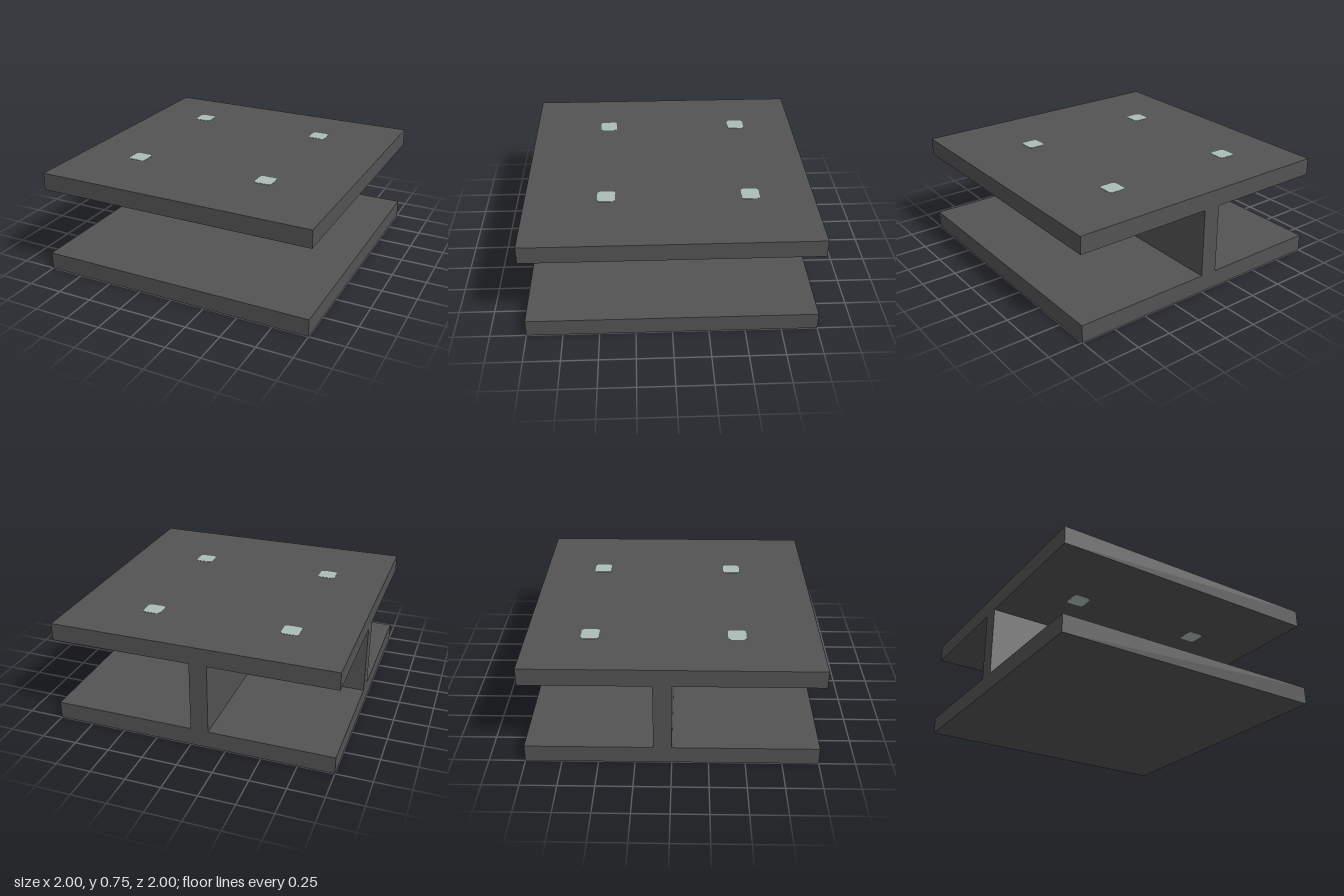
import * as THREE from 'three';

const grey = new THREE.MeshStandardMaterial({ color: 0x535353 });
grey.name = 'dark grey';
const pale = new THREE.MeshStandardMaterial({ color: 0xabbdb6 });
pale.name = 'pale green';

const PLATE = 0.125; // thickness of plates and walls
const TOP = 0.75;

// box placed by its minimum corner
function box(name, [w, h, d], [x, y, z]) {
  const mesh = new THREE.Mesh(new THREE.BoxGeometry(w, h, d), grey);
  mesh.name = name;
  mesh.position.set(x + w / 2, y + h / 2, z + d / 2);
  return mesh;
}

// square with rounded corners, centred on the origin
function roundedSquare(size, r) {
  const h = size / 2, c = h - r;
  const s = new THREE.Shape();
  s.absarc(c, c, r, 0, Math.PI / 2);
  s.absarc(-c, c, r, Math.PI / 2, Math.PI);
  s.absarc(-c, -c, r, Math.PI, Math.PI * 1.5);
  s.absarc(c, -c, r, Math.PI * 1.5, Math.PI * 2);
  s.closePath();
  return s;
}

export function createModel() {
  const model = new THREE.Group();
  model.name = 'platform';

  // two square plates
  model.add(box('bottomPlate', [2, PLATE, 2], [-1, 0, -1]));
  model.add(box('topPlate', [2, PLATE, 2], [-1, TOP - PLATE, -1]));

  // L-shaped support: one wall to the back edge, one to the side edge
  const gap = TOP - 2 * PLATE;
  model.add(box('backWall', [PLATE, gap, 1], [-PLATE, PLATE, -1]));
  model.add(box('sideWall', [1 - PLATE, gap, PLATE], [-1, PLATE, -PLATE]));

  // light plugs set through the top plate, barely proud of both faces
  const proud = 0.002;
  const plugGeo = new THREE.ExtrudeGeometry(roundedSquare(0.125, 0.024), {
    depth: PLATE + 2 * proud, bevelEnabled: false, curveSegments: 4,
  });
  plugGeo.rotateX(-Math.PI / 2);
  for (const x of [-0.5625, 0.4375]) {
    for (const z of [-0.5625, 0.4375]) {
      const plug = new THREE.Mesh(plugGeo, pale);
      plug.name = 'lightPlug';
      plug.position.set(x, TOP - PLATE - proud, z);
      model.add(plug);
    }
  }
  return model;
}
